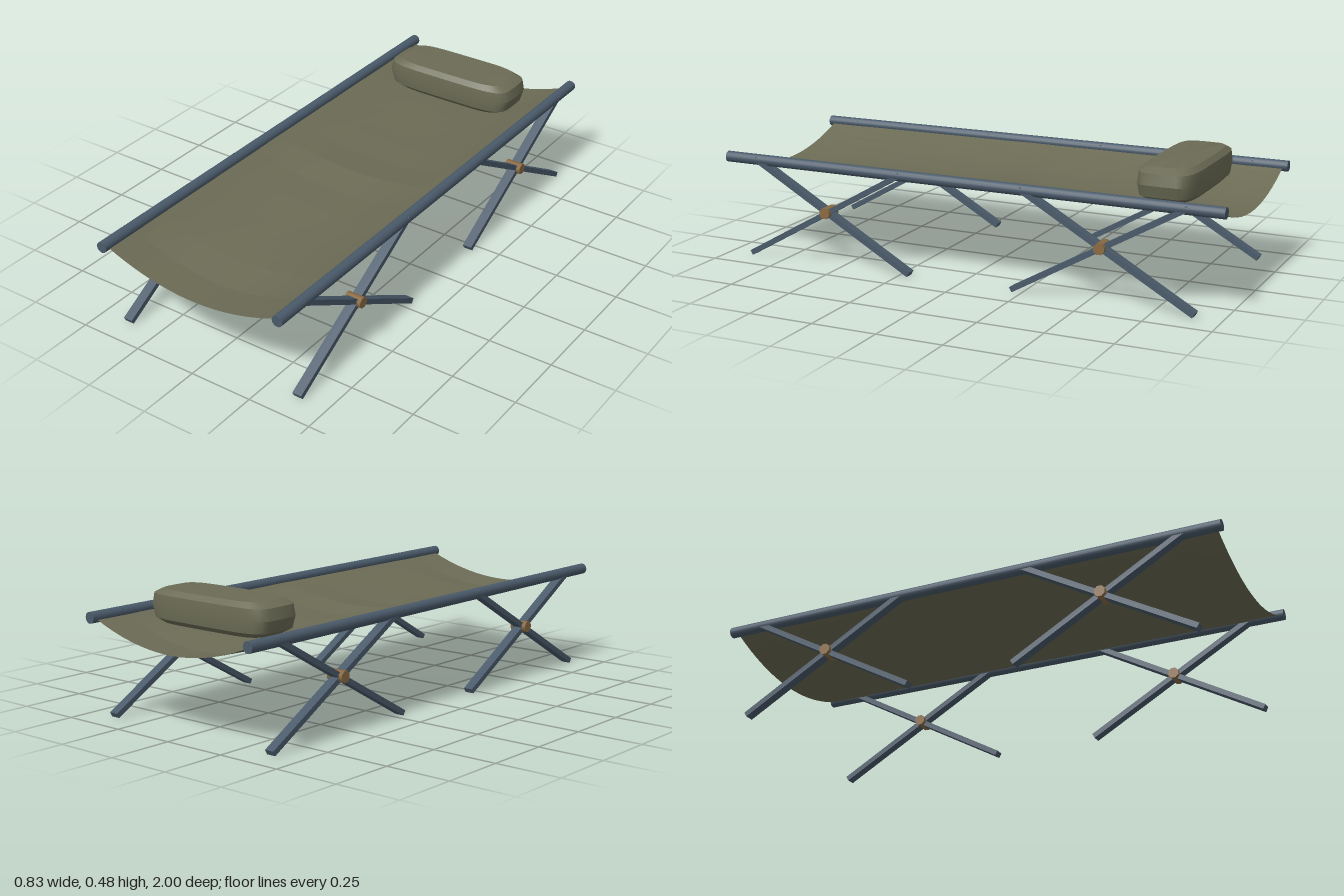
import * as THREE from 'three';
import { toCreasedNormals } from 'three/addons/utils/BufferGeometryUtils.js';

export function createModel() {
  const cot = new THREE.Group();
  cot.name = 'campCot';

  const steel = new THREE.MeshStandardMaterial({ name: 'blue grey steel', color: 0x4a5a6a });
  const canvas = new THREE.MeshStandardMaterial({
    name: 'olive canvas', color: 0x6b6b55, side: THREE.DoubleSide,
  });
  const brass = new THREE.MeshStandardMaterial({ name: 'brass', color: 0x8a6a42 });

  const add = (name, geometry, material, x = 0, y = 0, z = 0) => {
    const mesh = new THREE.Mesh(geometry, material);
    mesh.name = name;
    mesh.position.set(x, y, z);
    cot.add(mesh);
    return mesh;
  };

  const railX = 0.38, railY = 0.38;

  // Sagging sheet: a parabola across, with a depth that ripples along the length
  const sag = [0.055, 0.067, 0.067, 0.072, 0.073, 0.078, 0.093, 0.084];
  const sheet = new THREE.PlaneGeometry(railX * 2, 1.96, 16, 14).rotateX(-Math.PI / 2);
  const sp = sheet.attributes.position;
  for (let i = 0; i < sp.count; i++) {
    const u = sp.getX(i) / railX;
    const depth = sag[Math.round(Math.abs(sp.getZ(i)) / 0.14)];
    sp.setY(i, railY - depth * (1 - u * u));
  }
  add('canvasSheet', toCreasedNormals(sheet, 0.03), canvas);

  // Pillow: rounded rectangular rings stacked from the bottom up
  const rings = [ // y, half width, half depth
    [0.357, 0.001, 0.001], [0.357, 0.235, 0.092], [0.374, 0.268, 0.108], [0.418, 0.28, 0.113],
    [0.46, 0.272, 0.109], [0.478, 0.235, 0.092], [0.478, 0.001, 0.001],
  ];
  const steps = 32, positions = [], index = [];
  const bend = (v, e) => Math.sign(v) * Math.abs(v) ** e;
  rings.forEach(([y, w, d], r) => {
    for (let i = 0; i < steps; i++) {
      const a = (i / steps) * Math.PI * 2;
      positions.push(w * bend(Math.cos(a), 0.42), y, d * bend(Math.sin(a), 0.42));
      if (r === 0) continue;
      const j = (i + 1) % steps, lo = (r - 1) * steps, hi = r * steps;
      index.push(lo + i, hi + i, lo + j, hi + i, hi + j, lo + j);
    }
  });
  const pillow = new THREE.BufferGeometry();
  pillow.setAttribute('position', new THREE.Float32BufferAttribute(positions, 3));
  pillow.setIndex(index);
  add('pillow', toCreasedNormals(pillow, 0.45), canvas, 0, 0, -0.725);

  // Side rails, crossed legs and pivots
  const rail = new THREE.CylinderGeometry(0.021, 0.021, 2, 16).rotateX(Math.PI / 2);
  const pivot = new THREE.CylinderGeometry(0.022, 0.022, 0.068, 8)
    .rotateY(Math.PI / 8).rotateZ(Math.PI / 2);
  const foot = new THREE.Vector2(0.345, 0.0095), top = new THREE.Vector2(-0.315, 0.385);
  const run = top.clone().sub(foot), mid = top.clone().add(foot).multiplyScalar(0.5);
  const leg = new THREE.BoxGeometry(0.037, 0.02, run.length());
  const tilt = Math.atan2(run.y, -run.x);

  for (const side of [-1, 1]) {
    const label = side > 0 ? 'left' : 'right';
    add(label + 'Rail', rail, steel, side * railX, railY, 0);
    for (const end of [-1, 1]) {
      const z = end * 0.555;
      const place = label + (end > 0 ? 'Front' : 'Back');
      for (const dir of [-1, 1]) {
        const bar = add(place + (dir > 0 ? 'LegA' : 'LegB'), leg, steel,
          side * railX, mid.y, z + dir * mid.x);
        bar.rotation.x = dir * tilt;
      }
      add(place + 'Pivot', pivot, brass, side * railX, 0.208, z);
    }
  }
  return cot;
}
